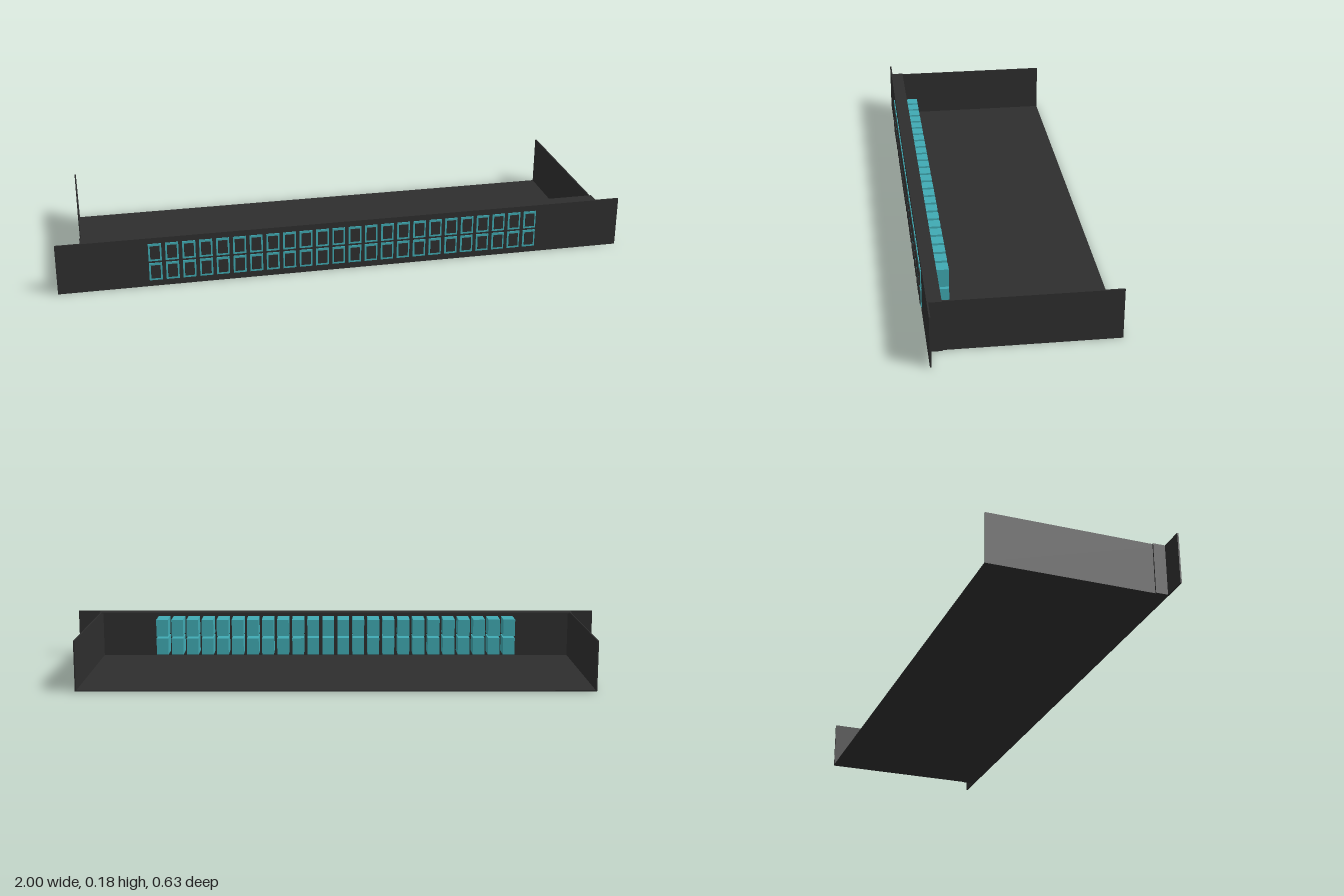
import * as THREE from 'three';

export function createModel() {
  const model = new THREE.Group();
  const steel = new THREE.MeshStandardMaterial({ color: 0x2e2e2e });
  steel.name = 'dark steel';
  const teal = new THREE.MeshStandardMaterial({ color: 0x40aab3 });
  teal.name = 'teal plastic';

  // box given by its minimum and maximum corners
  function box(name, material, [x0, y0, z0], [x1, y1, z1], parent = model) {
    const mesh = new THREE.Mesh(new THREE.BoxGeometry(x1 - x0, y1 - y0, z1 - z0), material);
    mesh.position.set((x0 + x1) / 2, (y0 + y1) / 2, (z0 + z1) / 2);
    mesh.name = name;
    parent.add(mesh);
    return mesh;
  }

  const H = 0.18, back = -0.313, panelBack = 0.303, front = 0.308, flangeBack = 0.261;

  // open-backed tray with a wide front panel
  box('trayFloor', steel, [-0.91, 0, back], [0.91, 0.004, panelBack]);
  box('frontPanel', steel, [-1, 0, panelBack], [1, H, front]);
  box('topFlange', steel, [-0.915, H - 0.004, flangeBack], [0.915, H, panelBack]);

  // side walls and the folded flanges that hold the panel
  for (const [side, s] of [['left', 1], ['right', -1]]) {
    const wall = box(side + 'Wall', steel, [-0.0025, 0.004, back], [0.0025, H - 0.0005, panelBack]);
    wall.position.x = s * 0.9075;
    const flange = box(side + 'Flange', steel, [-0.0025, 0, flangeBack], [0.0025, H - 0.004, panelBack]);
    flange.position.x = s * 0.9125;
  }

  // two rows of 24 jacks passing through the panel, each with a dark port face
  const columns = 24, pitch = 0.058;
  for (const [row, y] of [['lower', 0.055], ['upper', 0.127]]) {
    const jacks = new THREE.Group();
    jacks.name = row + 'JackRow';
    model.add(jacks);
    for (let i = 0; i < columns; i++) {
      const x = (i - (columns - 1) / 2) * pitch;
      box('jackBody', teal, [x - 0.0225, y - 0.032, 0.218], [x + 0.0225, y + 0.032, 0.311], jacks);
      box('jackPort', steel, [x - 0.0165, y - 0.024, 0.3105], [x + 0.0165, y + 0.024, 0.314], jacks);
    }
  }
  return model;
}
